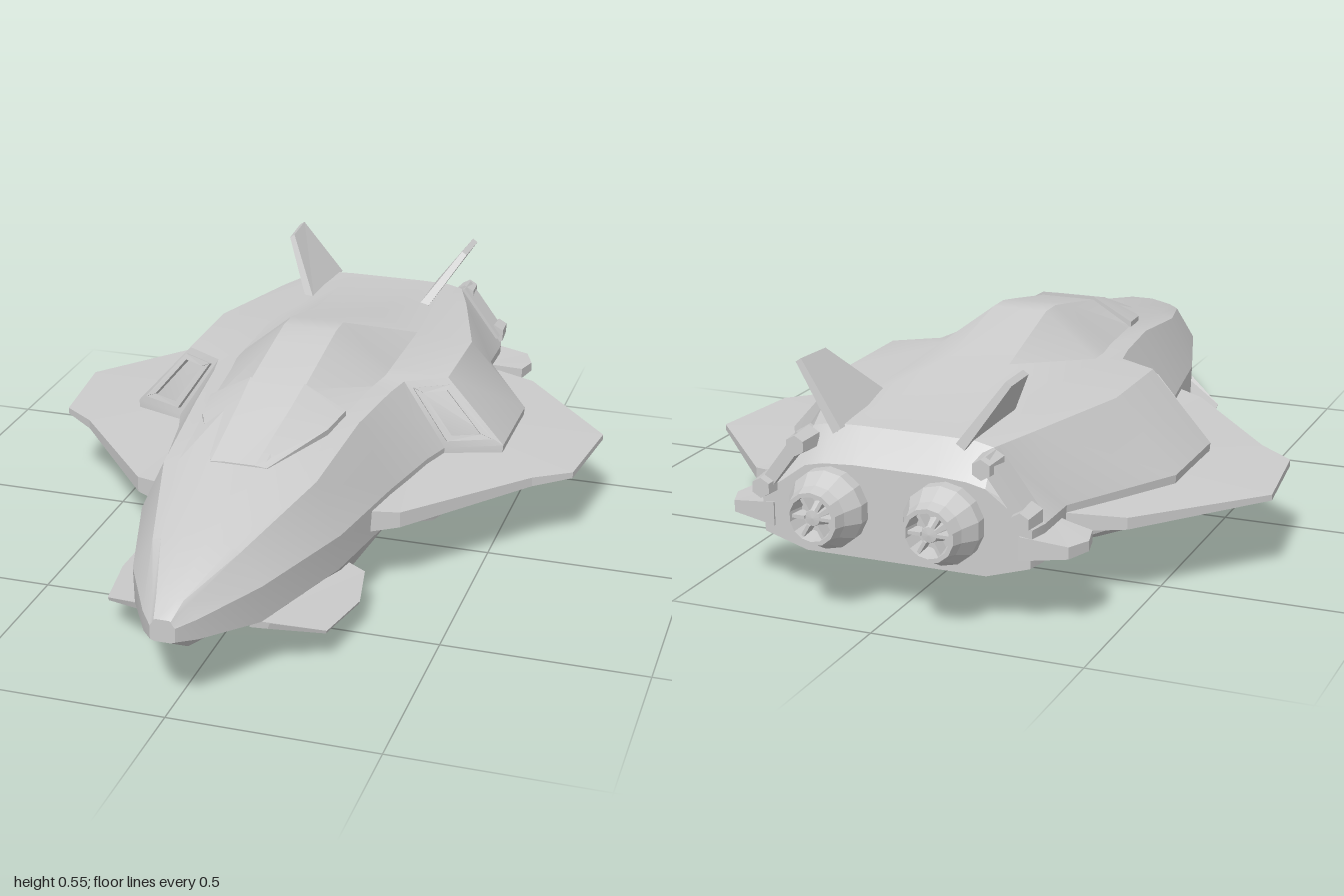
import * as THREE from 'three';
import { toCreasedNormals } from 'three/addons/utils/BufferGeometryUtils.js';

const smooth = new THREE.MeshStandardMaterial({ color: 0xcccccc });
const flat = new THREE.MeshStandardMaterial({ color: 0xcccccc, flatShading: true });

function fromTriangles(verts, tris) {
  const g = new THREE.BufferGeometry();
  g.setAttribute('position', new THREE.Float32BufferAttribute(verts.flat(), 3));
  g.setIndex(tris.flat());
  return g;
}

// Closed skin over mirrored half sections, ordered from nose to tail.
// Each section is [z, x, y, x, y, ...] running from the top to the bottom.
function loft(sections, crease) {
  const verts = [], tris = [];
  const n = sections[0].length - 1;
  for (const [z, ...p] of sections) {
    const half = [];
    for (let i = 0; i < p.length; i += 2) half.push([p[i], p[i + 1], z]);
    verts.push(...half, ...half.map(([x, y]) => [-x, y, z]).reverse());
  }
  for (let i = 0; i < sections.length - 1; i++) {
    for (let j = 0; j < n; j++) {
      const a = i * n + j, b = i * n + (j + 1) % n;
      tris.push([a, b, b + n], [a, b + n, a + n]);
    }
  }
  const last = (sections.length - 1) * n;
  for (let j = 1; j < n - 1; j++) {
    tris.push([0, j + 1, j], [last, last + j, last + j + 1]);
  }
  return toCreasedNormals(fromTriangles(verts, tris), crease);
}

// Full half section of the hull: spine, spine foot, shoulder, chine band, keel edge.
// The chine band narrows towards the nose.
function hullSection([z, spineX, spineY, shoulderX, shoulderY, chineX, keelX, keelY]) {
  const pinch = Math.max(0, 1 - chineX / 0.15);
  return [z, spineX, spineY,
    Math.min(0.2, 0.8 * shoulderX), shoulderY + 0.01, shoulderX, shoulderY,
    chineX, 0.24 - 0.015 * pinch, chineX * 0.985, 0.15 + 0.055 * pinch, keelX, keelY];
}

// Plate over an outline of [x, y, z, halfThickness] points.
function blade(outline) {
  const pts = outline.map(([x, y, z]) => new THREE.Vector3(x, y, z));
  const n = new THREE.Vector3(), m = pts.length;
  pts.forEach((p, k) => n.add(p.clone().cross(pts[(k + 1) % m])));
  n.normalize();
  const verts = [], tris = [];
  for (const side of [1, -1]) {
    pts.forEach((p, k) => verts.push(p.clone().addScaledVector(n, side * outline[k][3]).toArray()));
  }
  for (let k = 0; k < m; k++) {
    const q = (k + 1) % m;
    tris.push([k, k + m, q + m], [k, q + m, q]);
    if (k > 0 && k < m - 1) tris.push([0, k, q], [m, q + m, k + m]);
  }
  const g = fromTriangles(verts, tris).toNonIndexed();
  g.computeVertexNormals();
  return g;
}

// Raised rim around an air intake lying on a four-cornered hull face.
function intakeRim(corners) {
  const group = new THREE.Group();
  const [a, b, c, d] = corners.map((p) => new THREE.Vector3(...p));
  const at = (u, v) => a.clone().lerp(b, u).lerp(d.clone().lerp(c, u), v);
  const ring = (e, f) => [at(e, f), at(1 - e, f), at(1 - e, 1 - f), at(e, 1 - f)];
  const outer = ring(0.1, 0.1), inner = ring(0.18, 0.24);
  for (let k = 0; k < 4; k++) {
    const q = (k + 1) % 4;
    const bar = [outer[k], outer[q], inner[q], inner[k]].map((p) => [...p.toArray(), 0.008]);
    group.add(new THREE.Mesh(blade(bar), flat));
  }
  return group;
}

function bothSides(root, name, make) {
  for (const s of [1, -1]) {
    const part = make();
    part.name = (s > 0 ? 'left' : 'right') + name;
    part.scale.x = s;
    root.add(part);
  }
}

export function createModel() {
  const root = new THREE.Group();
  root.name = 'spacecraft';
  const add = (name, geo) => {
    const mesh = new THREE.Mesh(geo, smooth);
    mesh.name = name;
    root.add(mesh);
  };

  // Hull, from the nose past the stepped side pods to the stern
  const hullRows = [
    [1.0, 0.015, 0.245, 0.025, 0.233, 0.03, 0.02, 0.19],
    [0.95, 0.02, 0.274, 0.04, 0.262, 0.065, 0.04, 0.16],
    [0.78, 0.03, 0.34, 0.105, 0.318, 0.155, 0.07, 0.125],
    [0.48, 0.06, 0.39, 0.19, 0.37, 0.25, 0.14, 0.055],
    [0.2, 0.07, 0.478, 0.212, 0.407, 0.295, 0.188, 0],
    [0, 0.07, 0.515, 0.235, 0.41, 0.335, 0.2, 0],
    [-0.08, 0.07, 0.529, 0.25, 0.41, 0.36, 0.21, 0],
    [-0.14, 0.07, 0.528, 0.35, 0.41, 0.5, 0.32, 0],
    [-0.4, 0.08, 0.462, 0.35, 0.41, 0.5, 0.31, 0.062],
    [-0.69, 0.1, 0.42, 0.265, 0.405, 0.34, 0.22, 0.115],
    [-0.82, 0.1, 0.412, 0.22, 0.4, 0.34, 0.22, 0.115],
    [-0.87, 0.1, 0.335, 0.22, 0.32, 0.33, 0.22, 0.118],
  ];
  add('hull', loft(hullRows.map(hullSection), 0.42));

  // Cockpit canopy, a slightly raised shell
  add('canopy', loft([
    [0.485, 0.04, 0.393, 0.07, 0.39, 0.07, 0.36],
    [0.29, 0.065, 0.462, 0.16, 0.42, 0.16, 0.39],
    [0.19, 0.07, 0.488, 0.175, 0.43, 0.175, 0.39],
  ], 0.3));

  // Main wings, thick at the root and thin at the tip
  bothSides(root, 'Wing', () => new THREE.Mesh(blade([
    [0.25, 0.2, -0.3, 0.036], [0.25, 0.2, 0.32, 0.03], [0.34, 0.2, 0.28, 0.02],
    [0.6, 0.2, -0.03, 0.012], [0.69, 0.2, -0.1, 0.008], [0.72, 0.2, -0.36, 0.007],
    [0.47, 0.2, -0.65, 0.014], [0.28, 0.2, -0.71, 0.026],
  ]), flat));

  // Drooping foreplanes under the nose
  bothSides(root, 'Foreplane', () => new THREE.Mesh(blade([
    [0.12, 0.13, 0.76, 0.01], [0.16, 0.125, 0.75, 0.008], [0.27, 0.08, 0.66, 0.004],
    [0.3, 0.075, 0.49, 0.004], [0.28, 0.095, 0.38, 0.006], [0.16, 0.13, 0.36, 0.012],
  ]), flat));

  // Canted tail fins
  bothSides(root, 'TailFin', () => new THREE.Mesh(blade([
    [0.15, 0.4, -0.57, 0.012], [0.25, 0.545, -0.71, 0.008],
    [0.255, 0.548, -0.82, 0.008], [0.15, 0.4, -0.845, 0.012],
  ]), flat));

  // Small stabilisers beside the engines
  bothSides(root, 'Stabiliser', () => new THREE.Mesh(blade([
    [0.3, 0.195, -0.71, 0.028], [0.34, 0.195, -0.72, 0.025], [0.42, 0.195, -0.74, 0.014],
    [0.435, 0.195, -0.8, 0.012], [0.41, 0.195, -0.86, 0.014], [0.3, 0.195, -0.875, 0.028],
  ]), flat));

  // Intake rims on the upper and lower pod fronts
  bothSides(root, 'UpperIntake', () => intakeRim(
    [[0.25, 0.41, -0.08], [0.36, 0.24, -0.08], [0.5, 0.24, -0.14], [0.35, 0.41, -0.14]]));
  bothSides(root, 'LowerIntake', () => intakeRim(
    [[0.21, 0, -0.08], [0.355, 0.15, -0.08], [0.49, 0.15, -0.14], [0.32, 0, -0.14]]));

  // Sloping frame bars around the stern, with end clamps
  bothSides(root, 'SternFrame', () => {
    const group = new THREE.Group();
    const bar = new THREE.Mesh(new THREE.BoxGeometry(0.17, 0.03, 0.07), flat);
    bar.position.set(0.27, 0.325, -0.85);
    bar.rotation.z = -0.93;
    group.add(bar);
    for (const [x, y] of [[0.225, 0.375], [0.315, 0.265]]) {
      const clamp = new THREE.Mesh(new THREE.CylinderGeometry(0.024, 0.03, 0.07, 6), flat);
      clamp.rotation.x = -Math.PI / 2;
      clamp.position.set(x, y, -0.87);
      group.add(clamp);
    }
    return group;
  });

  // Twin engines: faceted bell, recessed throat and plug
  const bell = [[0, 0.8], [0.07, 0.8], [0.07, 0.88], [0.092, 0.9], [0.092, 0.93], [0.07, 0.972],
    [0.062, 1], [0.052, 1], [0.045, 0.955], [0.03, 0.955], [0.018, 0.99], [0, 0.992]];
  bothSides(root, 'Engine', () => {
    const group = new THREE.Group();
    const profile = bell.map(([r, y]) => new THREE.Vector2(r, y));
    const body = new THREE.Mesh(new THREE.LatheGeometry(profile, 14).rotateX(-Math.PI / 2), flat);
    body.position.set(0.14, 0.245, 0);
    group.add(body);
    // Vanes inside the throat
    for (let k = 0; k < 6; k++) {
      const a = k * Math.PI / 3;
      const vane = new THREE.Mesh(new THREE.BoxGeometry(0.034, 0.008, 0.035), flat);
      vane.position.set(0.14 + 0.036 * Math.cos(a), 0.245 + 0.036 * Math.sin(a), -0.975);
      vane.rotation.z = a;
      group.add(vane);
    }
    return group;
  });

  return root;
}
